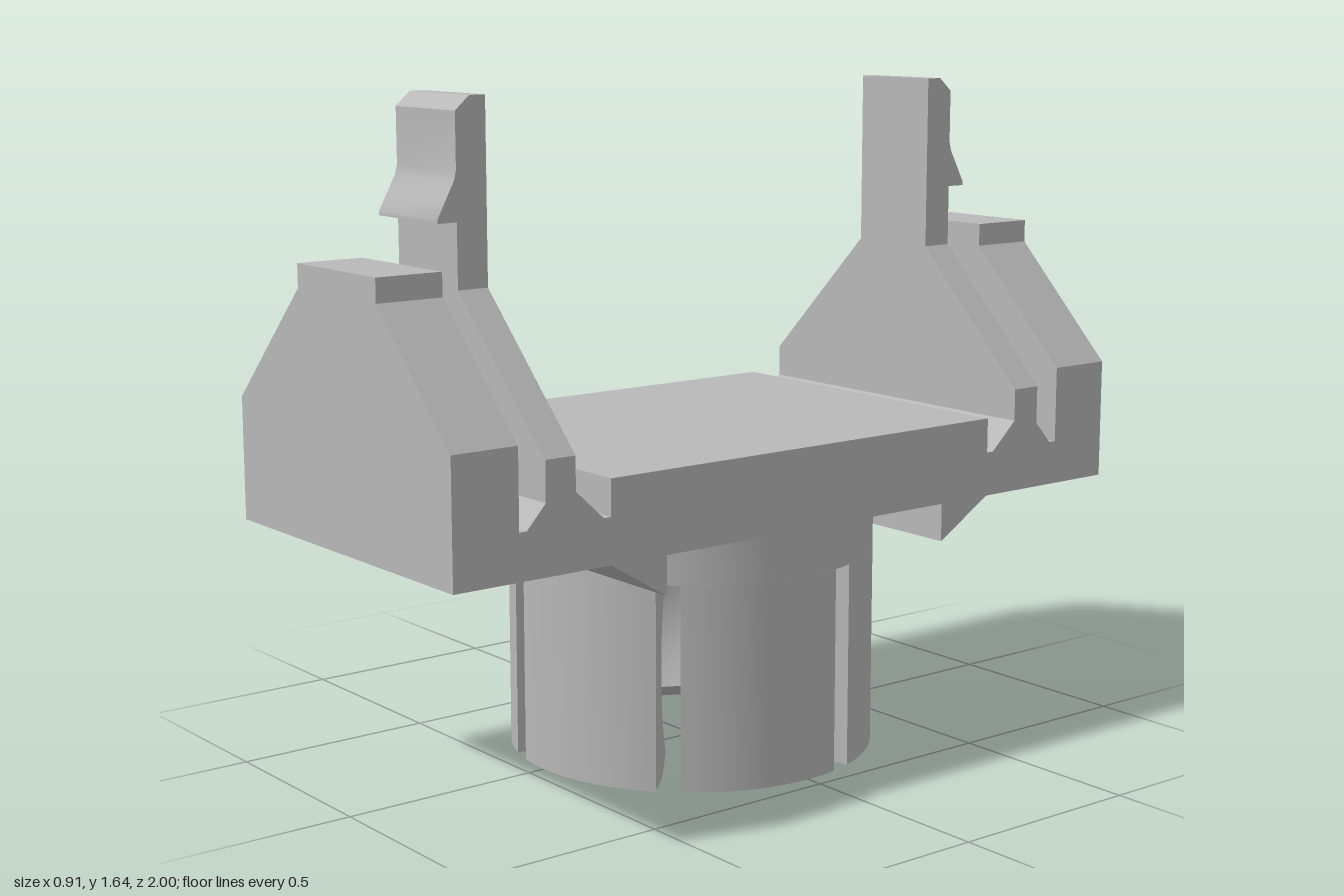
import * as THREE from 'three';
import { mergeGeometries, toCreasedNormals } from 'three/addons/utils/BufferGeometryUtils.js';

const HALF = 0.457; // half width of the base, also the cup radius
const shapeOf = (pts) => new THREE.Shape(pts.map(([x, y]) => new THREE.Vector2(x, y)));
const mirrored = (half) => [...half, ...half.map(([x, y]) => [-x, y]).reverse()];

// Profile given in (z, y), extruded across x and centred
function extrudeAcross(pts, width) {
  const g = new THREE.ExtrudeGeometry(shapeOf(pts), { depth: width, bevelEnabled: false });
  g.rotateY(-Math.PI / 2);
  g.translate(width / 2, 0, 0);
  return g;
}

// Outline given in (x, y), extruded from z0 to z1
function extrudeForward(pts, z0, z1) {
  const g = new THREE.ExtrudeGeometry(shapeOf(pts), { depth: z1 - z0, bevelEnabled: false });
  g.translate(0, 0, z0);
  return g;
}

// Socket sphere: radius of the bore at a given height
const BORE = 0.36, BORE_Y = 0.265, SLOT_TOP = 0.505;
const boreRadius = (y) => Math.sqrt(Math.max(0, BORE ** 2 - (y - BORE_Y) ** 2));

// One springy finger of the cup, between two parallel-sided slots
function fingerGeometry(startAngle) {
  const pts = [[HALF, 0], [HALF, SLOT_TOP]];
  for (let i = 0; i <= 12; i++) {
    const y = SLOT_TOP + (0.04 - SLOT_TOP) * (i / 12);
    pts.push([boreRadius(y), y]);
  }
  pts.push([0.335, 0]);
  const span = Math.PI / 3;
  const place = (r, y, t) => {
    const gap = Math.asin(0.029 / r);
    const a = startAngle + gap + t * (span - 2 * gap);
    return [r * Math.sin(a), y, r * Math.cos(a)];
  };
  const closed = [...pts, pts[0]].map(([r, y]) => new THREE.Vector2(r, y));
  const wall = new THREE.LatheGeometry(closed, 14, 0, 1);
  const p = wall.attributes.position;
  for (let i = 0; i < p.count; i++) {
    const x = p.getX(i), z = p.getZ(i);
    p.setXYZ(i, ...place(Math.hypot(x, z), p.getY(i), Math.atan2(x, z)));
  }
  const caps = [0, 1].map((t) => {
    const cap = new THREE.ShapeGeometry(shapeOf(pts));
    const c = cap.attributes.position;
    for (let i = 0; i < c.count; i++) c.setXYZ(i, ...place(c.getX(i), c.getY(i), t));
    if (t === 1) cap.setIndex(Array.from(cap.index.array).reverse());
    return cap;
  });
  return toCreasedNormals(mergeGeometries([wall, ...caps]), 0.5);
}

export function createModel() {
  const model = new THREE.Group();
  model.name = 'clipBracket';
  const grey = new THREE.MeshStandardMaterial({ color: 0xb8b8b8 });
  grey.name = 'plastic grey';
  const add = (parent, name, geometry) => {
    const mesh = new THREE.Mesh(geometry, grey);
    mesh.name = name;
    parent.add(mesh);
  };

  // Base slab with grooves, arm feet and the sloped ribs underneath
  add(model, 'base', extrudeAcross(mirrored([
    [0.43, 0.62], [0.43, 0.525], [0.585, 0.62], [1, 0.62], [1, 0.74], [0.83, 0.74],
    [0.83, 0.73], [0.81, 0.73], [0.76, 0.785], [0.76, 0.8], [0.68, 0.8],
    [0.605, 0.73], [0.585, 0.73], [0.585, 0.817],
  ]), HALF * 2));

  // End wall, spring arm and barb, repeated at front and back
  for (const [side, turn] of [['front', 0], ['back', Math.PI]]) {
    const end = new THREE.Group();
    end.name = side + 'End';
    end.rotation.y = turn;
    add(end, 'endWall', extrudeForward(
      mirrored([[HALF, 0.74], [HALF, 0.92], [0.17, 1.208], [0.17, 1.265]]), 0.83, 1));
    add(end, 'springArm', extrudeForward(
      mirrored([[HALF, 0.8], [HALF, 0.88], [0.124, 1.213], [0.124, 1.365]]), 0.68, 0.76));
    add(end, 'barb', toCreasedNormals(extrudeAcross([
      [0.68, 1.365], [0.81, 1.365], [0.81, 1.375], [0.786, 1.42], [0.766, 1.457],
      [0.76, 1.48], [0.76, 1.612], [0.722, 1.645], [0.68, 1.645],
    ], 0.248), 0.5));
    model.add(end);
  }

  // Slotted socket cup
  const cup = new THREE.Group();
  cup.name = 'socketCup';
  const crown = [[HALF, SLOT_TOP], [HALF, 0.62], [0, 0.622]];
  for (let i = 0; i <= 8; i++) {
    const y = 0.618 + (SLOT_TOP - 0.618) * (i / 8);
    crown.push([i ? boreRadius(y) : 0, y]);
  }
  crown.push(crown[0]);
  add(cup, 'cupCrown', toCreasedNormals(
    new THREE.LatheGeometry(crown.map(([r, y]) => new THREE.Vector2(r, y)), 72), 0.5));
  for (let i = 0; i < 6; i++) add(cup, 'cupFinger', fingerGeometry(Math.PI / 4 + i * Math.PI / 3));
  model.add(cup);
  return model;
}
